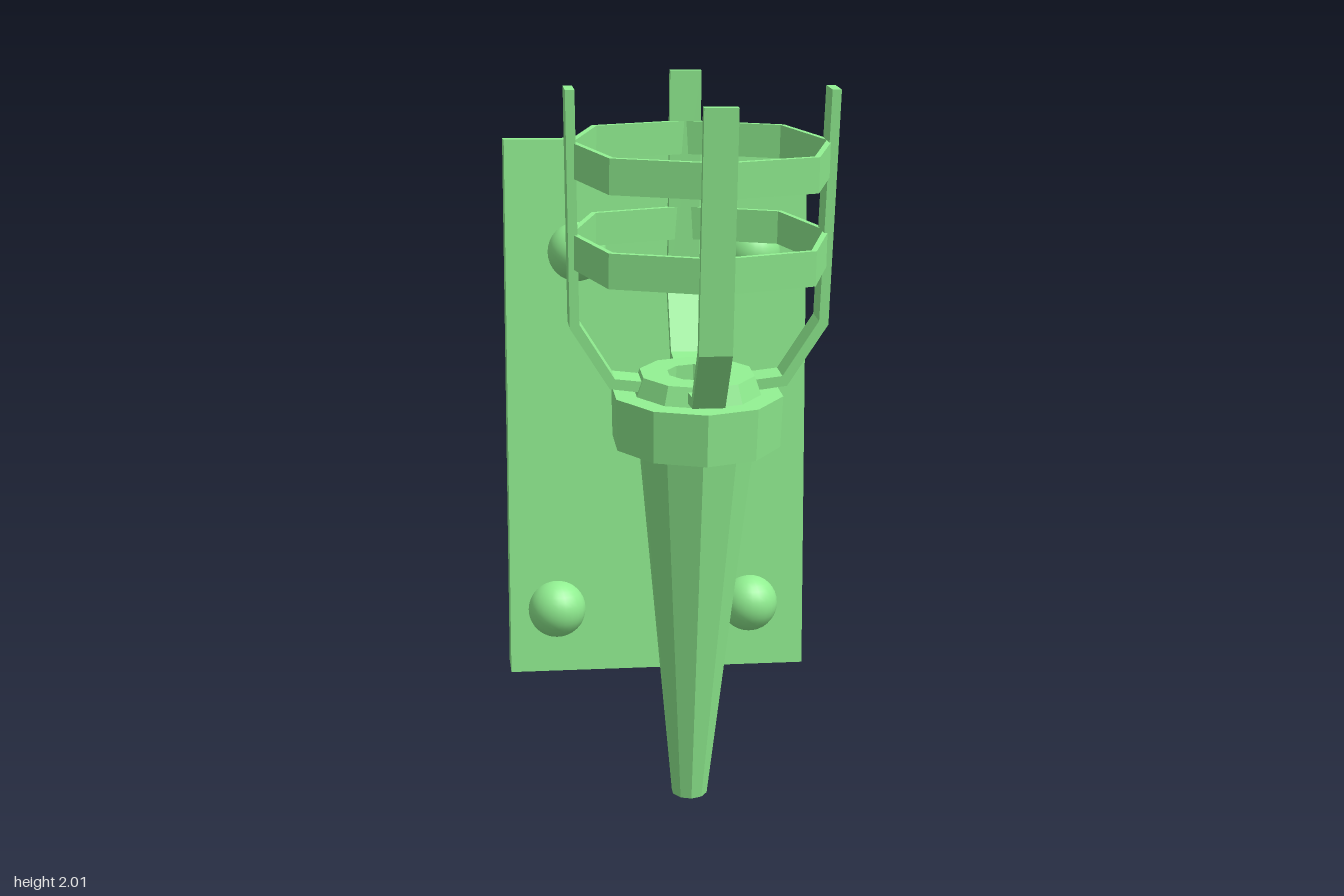
import * as THREE from 'three';

const flat = new THREE.MeshStandardMaterial({ color: 0x90ee90, flatShading: true, side: THREE.DoubleSide });
const smooth = new THREE.MeshStandardMaterial({ color: 0x90ee90 });

function add(parent, name, geometry, material = flat) {
  const mesh = new THREE.Mesh(geometry, material);
  mesh.name = name;
  parent.add(mesh);
  return mesh;
}

// Closed polygon from [x, y] pairs
const polygon = (pts, Type = THREE.Shape) => new Type(pts.map(([x, y]) => new THREE.Vector2(x, y)));

// Octagon pulled in slightly where the four bars cross it
const octagon = (inset) => Array.from({ length: 8 }, (_, k) => {
  const r = (k % 2 ? 0.367 : 0.342) - inset;
  const a = k * Math.PI / 4;
  return [r * Math.cos(a), r * Math.sin(a)];
});

function createTorch() {
  const torch = new THREE.Group();
  torch.name = 'torch';

  // Tapered handle
  add(torch, 'handle', new THREE.CylinderGeometry(0.16, 0.05, 1.06, 10)).position.y = 0.53;

  // Collar and the hollow socket above it
  add(torch, 'collar', new THREE.CylinderGeometry(0.232, 0.228, 0.14, 10)).position.y = 1.105;
  const socket = [[0.175, 1.17], [0.155, 1.225], [0.08, 1.225], [0.08, 1.18], [0, 1.18]]
    .map(([r, y]) => new THREE.Vector2(r, y));
  add(torch, 'socket', new THREE.LatheGeometry(socket, 10));

  // Four bent cage bars
  const barShape = polygon([
    [0.12, 1.18], [0.235, 1.195], [0.34, 1.36], [0.352, 1.975],
    [0.328, 1.975], [0.315, 1.37], [0.222, 1.222], [0.12, 1.21],
  ]);
  const barGeometry = new THREE.ExtrudeGeometry(barShape, { depth: 0.085, bevelEnabled: false });
  barGeometry.translate(0, 0, -0.0425);
  for (let i = 0; i < 4; i++) {
    add(torch, 'cageBar', barGeometry).rotation.y = i * Math.PI / 2;
  }

  // Two octagonal cage bands
  const bandShape = polygon(octagon(0));
  bandShape.holes.push(polygon(octagon(0.016), THREE.Path));
  const bandGeometry = new THREE.ExtrudeGeometry(bandShape, { depth: 0.09, bevelEnabled: false });
  bandGeometry.translate(0, 0, -0.045).rotateX(-Math.PI / 2);
  for (const y of [1.56, 1.795]) add(torch, 'cageBand', bandGeometry).position.y = y;

  return torch;
}

export function createModel() {
  const model = new THREE.Group();
  model.name = 'wallTorch';

  // Wall plate
  add(model, 'wallPlate', new THREE.BoxGeometry(0.92, 1.65, 0.128)).position.set(-0.007, 0.975, -0.502);

  // Domed bolts
  const boltGeometry = new THREE.SphereGeometry(0.09, 24, 16);
  for (const [x, y] of [[0.283, 1.455], [-0.251, 1.463], [0.283, 0.35], [-0.322, 0.35]]) {
    add(model, 'bolt', boltGeometry, smooth).position.set(x, y, -0.447);
  }

  // Support arm from the plate to the handle
  const from = new THREE.Vector3(0.03, 0.97, -0.45);
  const to = new THREE.Vector3(0, 0.95, 0.33);
  const arm = add(model, 'arm', new THREE.BoxGeometry(0.06, 0.18, from.distanceTo(to)));
  arm.position.addVectors(from, to).multiplyScalar(0.5);
  arm.lookAt(to);

  // Torch leaning away from the wall
  const torch = createTorch();
  torch.position.set(0, 0.006, 0.283);
  torch.rotation.x = 0.123;
  model.add(torch);

  // Whole fixture turned to face diagonally
  model.rotation.y = Math.PI / 4;
  const root = new THREE.Group();
  root.add(model);
  return root;
}
